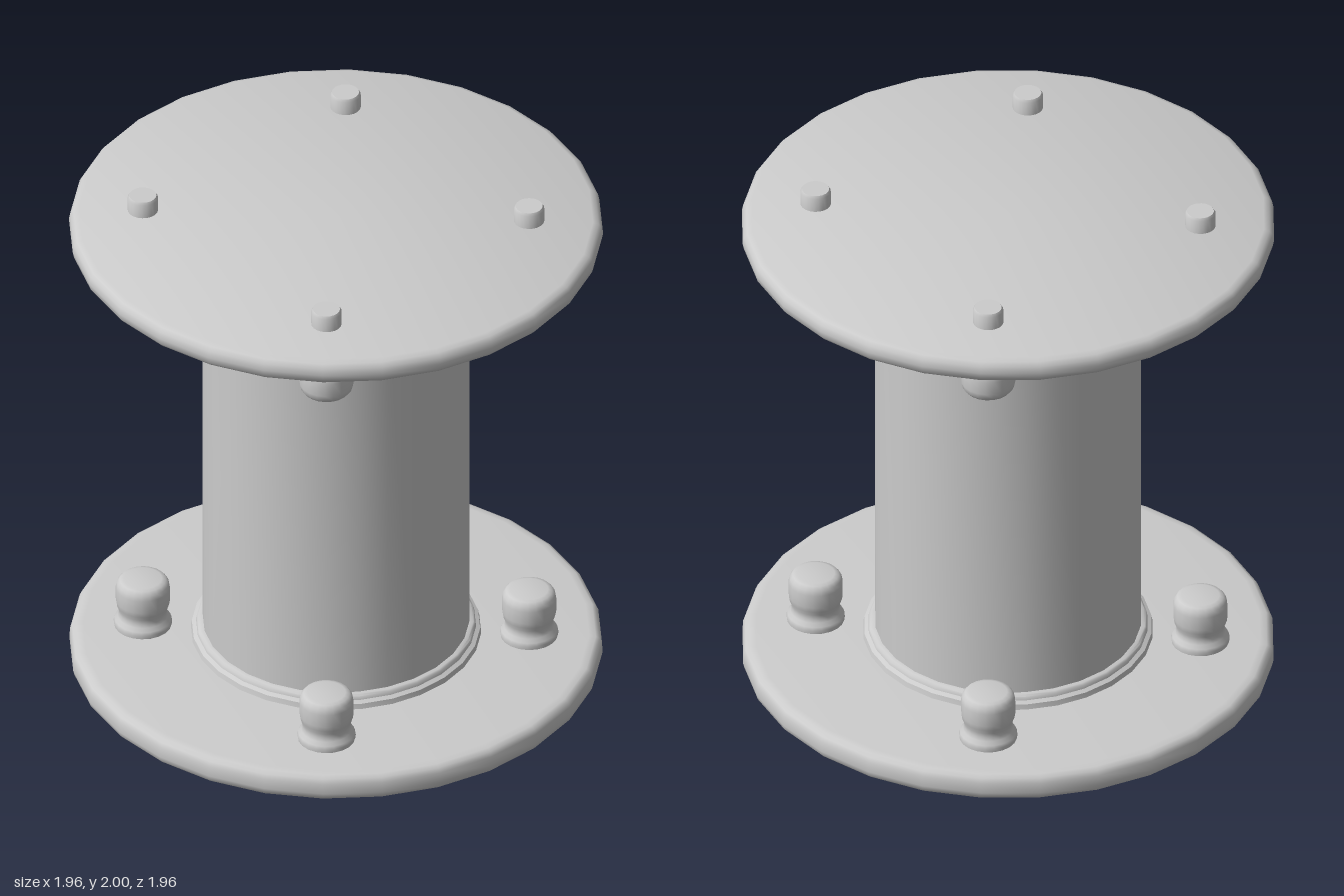
import * as THREE from 'three';
import { toCreasedNormals } from 'three/addons/utils/BufferGeometryUtils.js';

const material = new THREE.MeshStandardMaterial({ color: 0xcccccc });

// Profiles are [radius, height] pairs, listed upwards along the outside.
function turned(name, profile, sides) {
  const points = profile.map(([r, y]) => new THREE.Vector2(r, y));
  const geometry = toCreasedNormals(new THREE.LatheGeometry(points, sides), 0.75);
  const mesh = new THREE.Mesh(geometry, material);
  mesh.name = name;
  return mesh;
}

// Upside-down copy of a profile, reflected from the lower to the upper flange.
const flip = (profile) => profile.map(([r, y]) => [r, 1.94 - y]).reverse();

export function createModel() {
  const model = new THREE.Group();
  model.name = 'flangedPipe';

  // Pipe body
  model.add(turned('column', [[0.49, 0.08], [0.49, 1.86]], 28));

  // Flange plates: the lower one has a flat base, the upper one rounded rims
  model.add(turned('lowerFlange', [
    [0, 0], [0.965, 0], [0.976, 0.012], [0.98, 0.03], [0.978, 0.07],
    [0.97, 0.088], [0.955, 0.097], [0.93, 0.1], [0, 0.1],
  ], 28));
  model.add(turned('upperFlange', [
    [0, 1.84], [0.945, 1.84], [0.965, 1.847], [0.977, 1.862], [0.982, 1.887],
    [0.977, 1.912], [0.965, 1.927], [0.945, 1.935], [0, 1.935],
  ], 28));

  // Weld collars where the pipe meets the plates
  model.add(turned('lowerCollar', [
    [0.535, 0.095], [0.53, 0.12], [0.515, 0.128], [0.512, 0.142], [0.505, 0.148], [0.48, 0.148],
  ], 28));
  model.add(turned('upperCollar', [
    [0.48, 1.805], [0.497, 1.808], [0.505, 1.822], [0.53, 1.828], [0.535, 1.845],
  ], 28));

  // Four bolts around each plate
  const nut = [
    [0.105, 0.095], [0.108, 0.115], [0.104, 0.127], [0.093, 0.14], [0.089, 0.155],
    [0.09, 0.172], [0.097, 0.19], [0.1, 0.21], [0.1, 0.262], [0.096, 0.282],
    [0.085, 0.296], [0.07, 0.3], [0, 0.3],
  ];
  const stud = [[0.056, 1.92], [0.056, 1.99], [0.05, 2], [0, 2]];
  for (let i = 0; i < 4; i++) {
    const angle = (i * Math.PI) / 2;
    const bolts = new THREE.Group();
    bolts.name = 'boltPair' + (i + 1);
    bolts.add(
      turned('lowerNut', nut, 20),
      turned('upperNut', flip(nut), 20),
      turned('topStud', stud, 20),
    );
    bolts.position.set(0.71 * Math.sin(angle), 0, 0.71 * Math.cos(angle));
    model.add(bolts);
  }
  return model;
}
